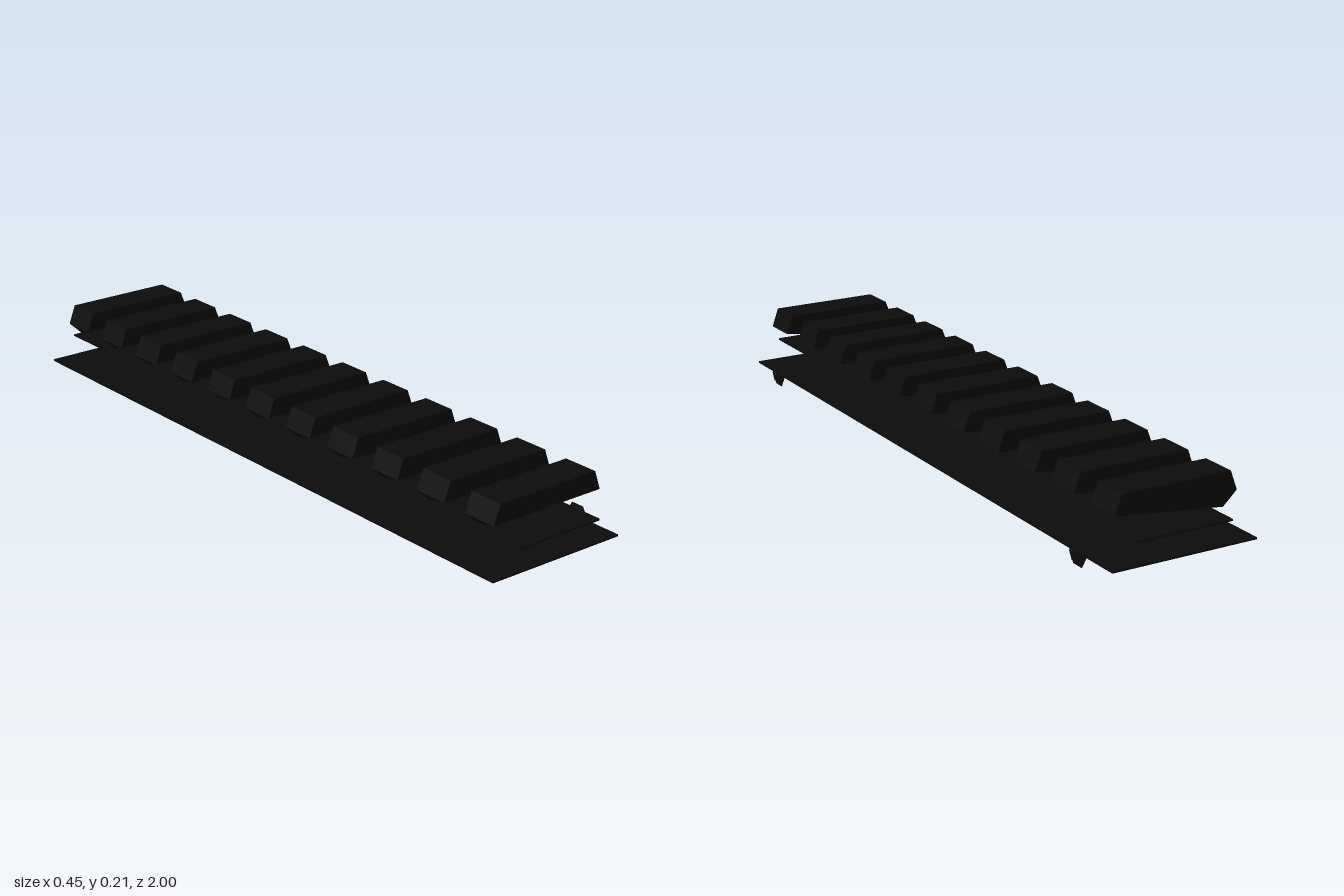
import * as THREE from 'three';
import { ConvexGeometry } from 'three/addons/geometries/ConvexGeometry.js';

const black = new THREE.MeshStandardMaterial({ color: 0x0c0c0c });
black.name = 'matte black';

function add(parent, name, geometry, x = 0, y = 0, z = 0) {
  const mesh = new THREE.Mesh(geometry, black);
  mesh.name = name;
  mesh.position.set(x, y, z);
  parent.add(mesh);
  return mesh;
}

// One cross rib: bevelled ends, underside sloping down to a rear corner
function ribGeometry() {
  const half = 0.052;
  const points = [];
  for (const z of [half, -half]) {
    points.push(
      new THREE.Vector3(-0.189, 0.16, z),
      new THREE.Vector3(-0.168, 0.215, z),
      new THREE.Vector3(0.16, 0.215, z),
      new THREE.Vector3(0.18, 0.16, z)
    );
  }
  points.push(new THREE.Vector3(-0.148, 0.122, -half));
  return new ConvexGeometry(points);
}

// Six-sided bolt head with a wide middle flange and two smaller outer flanges
function boltGeometry() {
  const profile = [
    [0, -0.011], [0.025, -0.0095], [0.012, -0.005], [0.04, 0],
    [0.012, 0.005], [0.025, 0.0095], [0, 0.011]
  ].map(([r, h]) => new THREE.Vector2(r, h));
  const geometry = new THREE.LatheGeometry(profile, 6).toNonIndexed();
  geometry.computeVertexNormals();
  geometry.rotateZ(-Math.PI / 2);
  return geometry;
}

export function createModel() {
  const model = new THREE.Group();
  model.name = 'slottedRail';

  // Two thin plates running the full length
  add(model, 'basePlate', new THREE.BoxGeometry(0.438, 0.005, 2), -0.007, 0.036, 0);
  add(model, 'middlePlate', new THREE.BoxGeometry(0.288, 0.005, 2), -0.004, 0.101, 0);

  // Row of evenly spaced ribs
  const rib = ribGeometry();
  const ribs = new THREE.Group();
  ribs.name = 'ribs';
  for (let i = 0; i < 11; i++) add(ribs, 'rib', rib, 0, 0, 0.905 - i * 0.181);
  model.add(ribs);

  // Bolts on the left edge, near each end
  const bolt = boltGeometry();
  for (const z of [0.85, -0.85]) add(model, 'bolt', bolt, 0.214, 0.036, z);

  return model;
}
